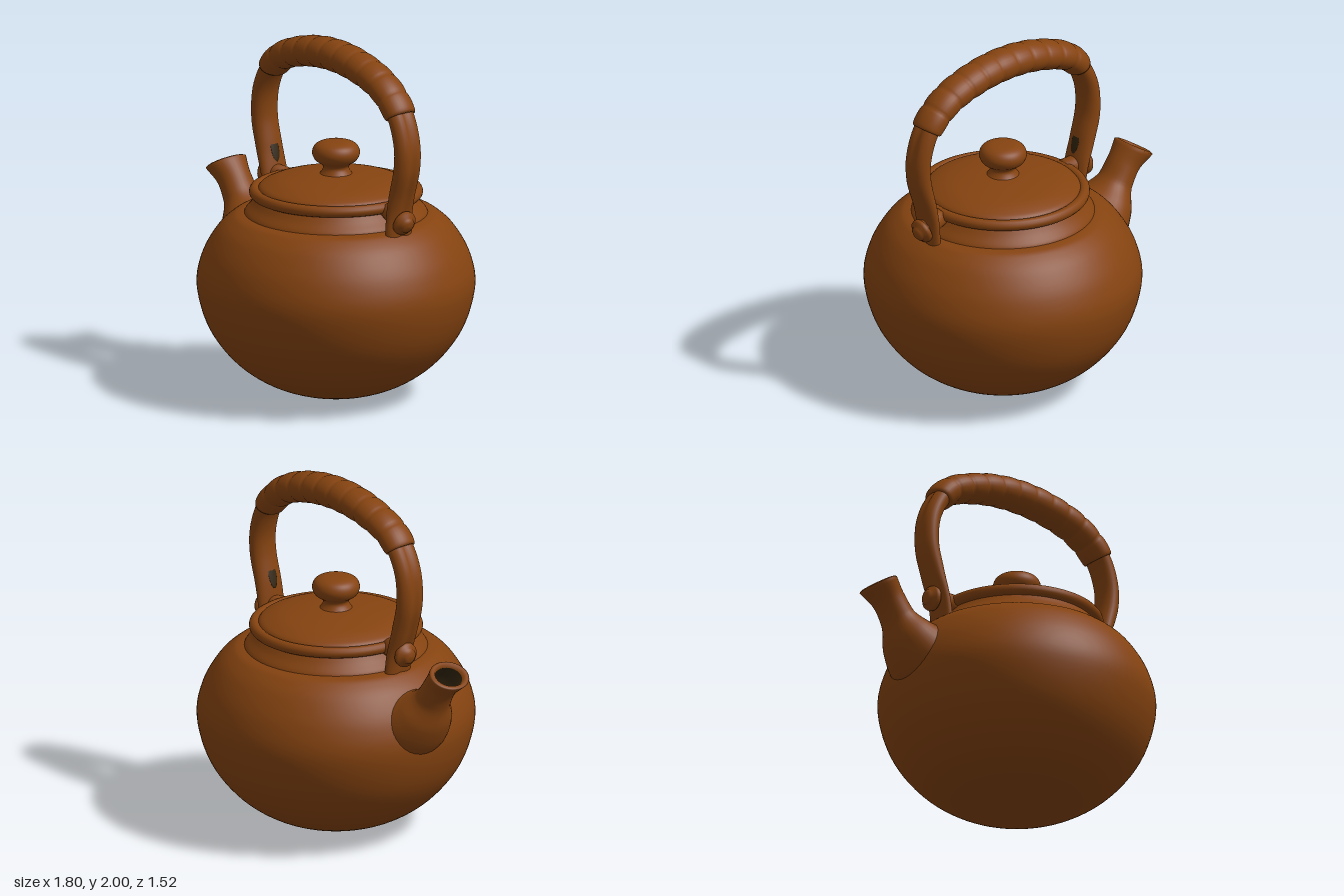
import * as THREE from 'three';

const CX = 0.14; // axis of the pot body
const clay = new THREE.MeshStandardMaterial({ color: 0x854310 });
clay.name = 'brown clay';
const dark = new THREE.MeshStandardMaterial({ color: 0x30230c });
dark.name = 'dark hollow';

const v3 = (p) => new THREE.Vector3(p[0], p[1], p[2] || 0);
const spline = (pts) => new THREE.CatmullRomCurve3(pts.map(v3));

function add(parent, name, geometry, material = clay) {
  const mesh = new THREE.Mesh(geometry, material);
  mesh.name = name;
  parent.add(mesh);
  return mesh;
}

// Smooth turned part; the profile runs from bottom to top
function turned(pts, smooth = 0, segments = 72) {
  let profile = pts.map((p) => new THREE.Vector2(p[0], p[1]));
  if (smooth) profile = new THREE.SplineCurve(profile).getPoints(smooth);
  profile.forEach((p) => { p.x = Math.max(p.x, 0); });
  return new THREE.LatheGeometry(profile, segments);
}

// Skin over closed rings of equal length
function loft(rings) {
  const n = rings[0].length;
  const index = [];
  for (let i = 0; i < rings.length - 1; i++) {
    for (let j = 0; j < n; j++) {
      const k = (j + 1) % n;
      const a = i * n + j, b = i * n + k, c = (i + 1) * n + k, d = (i + 1) * n + j;
      index.push(a, b, c, a, c, d);
    }
  }
  const g = new THREE.BufferGeometry().setFromPoints(rings.flat());
  g.setIndex(index);
  g.computeVertexNormals();
  return g;
}

// Oval ring: centre, in-plane half axis, half width along z
function oval(centre, axis, width, n = 32, groove = 0) {
  return Array.from({ length: n }, (_, j) => {
    const t = (j / n) * Math.PI * 2;
    const dent = 1 - groove * Math.exp(-Math.pow(Math.sin(t) / 0.3, 2)) * (Math.cos(t) > 0 ? 1 : 0);
    const p = centre.clone().addScaledVector(axis, Math.cos(t) * dent);
    p.z += Math.sin(t) * width;
    return p;
  });
}

// Spout: upper outline, lower outline and half width, from tip to root
function buildSpout(parent) {
  const top = spline([[-0.72, 1.165], [-0.66, 1.08], [-0.6, 1.0], [-0.53, 0.955], [-0.44, 0.93], [-0.33, 0.9]]);
  const bottom = spline([[-0.895, 1.06], [-0.805, 0.985], [-0.75, 0.89], [-0.71, 0.75], [-0.61, 0.6], [-0.48, 0.56]]);
  const width = spline([[0.122, 0], [0.098, 0], [0.105, 0], [0.165, 0], [0.215, 0], [0.22, 0]]);
  const ring = (t, scale, lift = 0) => {
    const a = top.getPoint(t), b = bottom.getPoint(t);
    const centre = a.clone().add(b).multiplyScalar(0.5);
    const axis = a.clone().sub(b).multiplyScalar(0.5 * scale);
    centre.addScaledVector(new THREE.Vector3(-0.5, 0.86, 0), lift);
    return oval(centre, axis, width.getPoint(t).x * scale);
  };
  const outer = [ring(0, 0.68, -0.012), ring(0, 0.74, 0.002), ring(0, 0.86, 0.008), ring(0, 0.95, 0.004)];
  for (let i = 0; i <= 30; i++) outer.push(ring(i / 30, 1));
  add(parent, 'spout', loft(outer));
  const inner = [ring(0.3, 0.01), ring(0.3, 0.6), ring(0.15, 0.66), ring(0, 0.68, -0.012)];
  add(parent, 'spoutHollow', loft(inner), dark);
}

// Bail handle with a wrapped grip
function buildHandle(parent) {
  const path = spline([
    [-0.37, 0.99], [-0.39, 1.13], [-0.435, 1.28], [-0.475, 1.45], [-0.455, 1.63], [-0.35, 1.79],
    [-0.15, 1.875], [0.1, 1.91], [0.35, 1.885], [0.56, 1.81], [0.69, 1.69],
    [0.75, 1.53], [0.75, 1.4], [0.705, 1.23], [0.685, 1.13], [0.675, 0.99],
  ]);
  path.arcLengthDivisions = 400;
  const ring = (u, thick, wide, groove = 0) => {
    const t = path.getTangentAt(u);
    return oval(path.getPointAt(u), new THREE.Vector3(-t.y, t.x, 0).multiplyScalar(thick), wide, 32, groove);
  };
  const rings = [ring(0, 0.001, 0.001)];
  for (let i = 0; i <= 120; i++) {
    const u = i / 120;
    const k = THREE.MathUtils.smoothstep(Math.min(u, 1 - u), 0.02, 0.16);
    rings.push(ring(u, 0.036 + 0.02 * k, 0.088 - 0.006 * k, 0.25));
  }
  rings.push(ring(1, 0.001, 0.001));
  add(parent, 'handleBow', loft(rings));

  // Wrapped bands between the shoulders of the bow
  let start = 0, end = 1;
  while (path.getPointAt(start).y < 1.735) start += 0.002;
  while (path.getPointAt(end).y < 1.68) end -= 0.002;
  const bands = 11, steps = 10, wrap = [ring(start, 0.05, 0.07)];
  for (let i = 0; i <= bands * steps; i++) {
    const s = i / (bands * steps);
    const f = (i % steps) / steps;
    const bulge = Math.pow(Math.sin(Math.PI * f), 0.4) * 0.007;
    const swell = 0.014 * Math.sin(Math.PI * s);
    wrap.push(ring(start + (end - start) * s, 0.068 + swell + bulge, 0.09 + swell * 0.4 + bulge));
  }
  wrap.push(ring(end, 0.05, 0.07));
  add(parent, 'handleWrap', loft(wrap));

  // Hollow slots on the inner face of both legs
  for (const u of [0.105, 0.895]) {
    const t = path.getTangentAt(u);
    const slot = add(parent, 'legSlot', new THREE.SphereGeometry(1, 16, 12), dark);
    slot.position.copy(path.getPointAt(u)).addScaledVector(new THREE.Vector3(-t.y, t.x, 0), -0.047);
    slot.rotation.z = Math.atan2(-t.x, t.y);
    slot.scale.set(0.004, 0.075, 0.028);
  }
}

// Pin and cap that hold a handle leg
function buildPin(parent, name, x, y, dx, dy) {
  const pin = add(parent, name, turned([
    [0, -0.1], [0.05, -0.1], [0.055, -0.02], [0.055, 0.025], [0.068, 0.032], [0.07, 0.045],
    [0.066, 0.06], [0.045, 0.066], [0.042, 0.08], [0.025, 0.09], [0, 0.093],
  ], 0, 28));
  pin.position.set(x, y, 0);
  pin.quaternion.setFromUnitVectors(new THREE.Vector3(0, 1, 0), new THREE.Vector3(dx, dy, 0).normalize());
}

export function createModel() {
  const model = new THREE.Group();
  model.name = 'teapot';

  const pot = new THREE.Group();
  pot.name = 'pot';
  pot.position.x = CX;
  model.add(pot);

  add(pot, 'body', turned([
    [0, 0], [0.2, 0.022], [0.4, 0.095], [0.57, 0.22], [0.7, 0.4], [0.76, 0.62],
    [0.73, 0.79], [0.65, 0.93], [0.57, 1.005], [0.52, 1.026], [0.48, 1.03],
  ], 56, 96));
  add(pot, 'neck', turned([[0.505, 1.015], [0.495, 1.04], [0.46, 1.08], [0.43, 1.125]], 12));

  // Lid
  add(pot, 'lidDome', turned([
    [0.44, 1.15], [0.425, 1.165], [0.4, 1.187], [0.32, 1.217], [0.2, 1.238], [0.1, 1.247], [0, 1.249],
  ], 30));
  add(pot, 'lidUnderside', turned([[0, 1.112], [0.445, 1.116]]));
  const rim = add(pot, 'lidRim', new THREE.TorusGeometry(0.444, 0.031, 14, 80));
  rim.rotation.x = Math.PI / 2;
  rim.position.y = 1.145;
  add(pot, 'lidKnob', turned([
    [0.1, 1.235], [0.082, 1.255], [0.07, 1.28], [0.08, 1.3], [0.115, 1.325], [0.131, 1.365],
    [0.115, 1.405], [0.07, 1.426], [0, 1.431],
  ], 36, 40));

  buildSpout(model);
  buildHandle(model);
  buildPin(model, 'spoutSidePin', -0.397, 1.135, -0.98, -0.06);
  buildPin(model, 'rearSidePin', 0.685, 1.1, 0.93, -0.33);
  return model;
}
